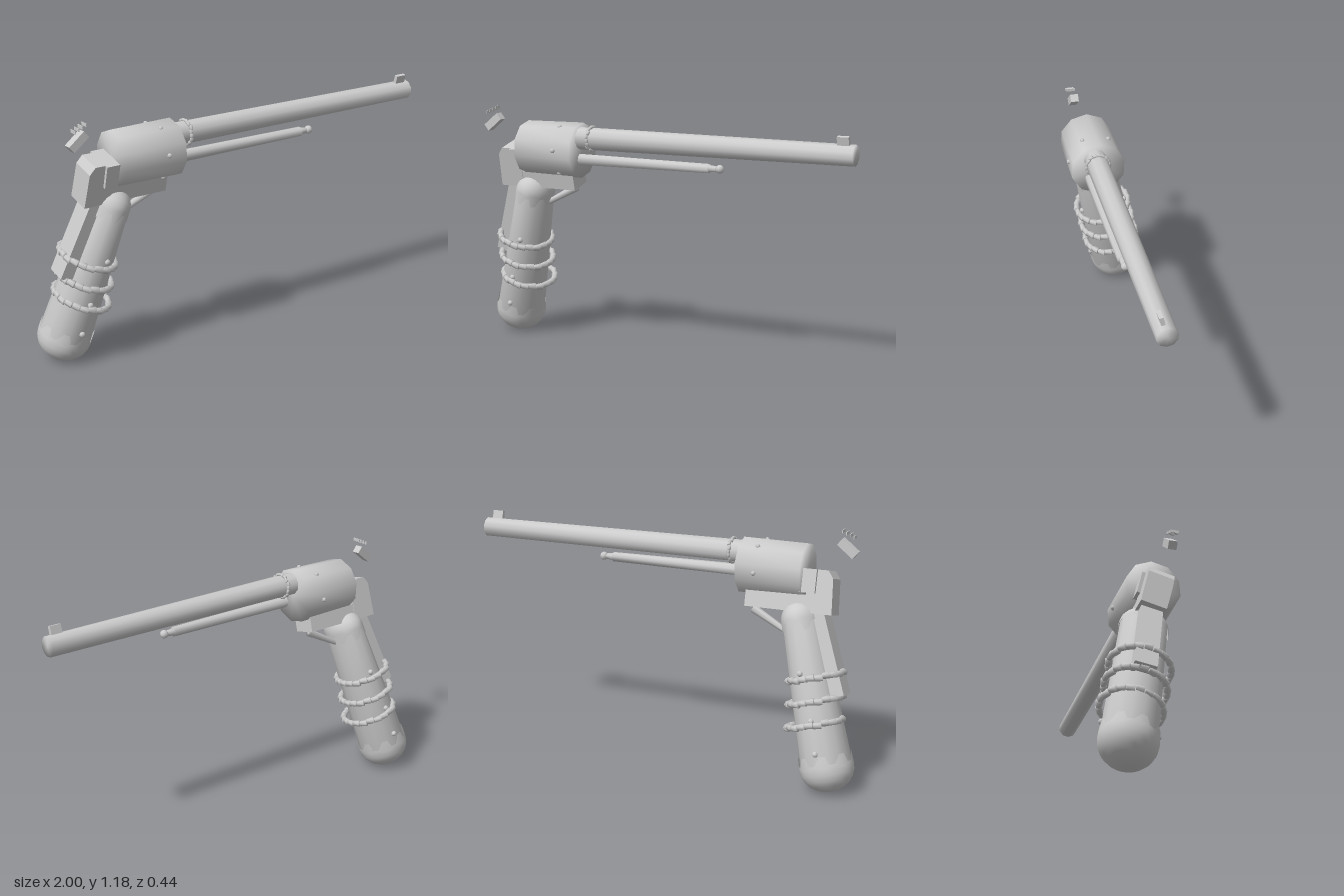
import * as THREE from 'three';
import { mergeVertices } from 'three/addons/utils/BufferGeometryUtils.js';

const metal = new THREE.MeshStandardMaterial({ color: 0xcccccc, side: THREE.DoubleSide });
metal.name = 'plain grey';

// Weld all corners so the shading runs smoothly over every edge
function soft(geo) {
  geo.deleteAttribute('normal');
  geo.deleteAttribute('uv');
  const welded = mergeVertices(geo, 1e-4);
  welded.computeVertexNormals();
  return welded;
}

function add(parent, name, geo, x = 0, y = 0, z = 0) {
  const mesh = new THREE.Mesh(geo, metal);
  mesh.name = name;
  mesh.position.set(x, y, z);
  parent.add(mesh);
  return mesh;
}

// Round bar along x from x0 to x1
function bar(parent, name, x0, x1, r0, r1, sides, y = 0, z = 0) {
  const geo = new THREE.CylinderGeometry(r1, r0, x1 - x0, sides).rotateZ(-Math.PI / 2);
  return add(parent, name, soft(geo), (x0 + x1) / 2, y, z);
}

function box(parent, name, x0, x1, y0, y1, depth, z = 0) {
  return add(parent, name, new THREE.BoxGeometry(x1 - x0, y1 - y0, depth),
    (x0 + x1) / 2, (y0 + y1) / 2, z);
}

// Ring of short beads around the local y axis
function beadRing(parent, name, count, rx, rz, beadRadius) {
  const ring = new THREE.Group();
  ring.name = name;
  const length = (2 * Math.PI * (rx + rz) / 2 / count) * 0.95;
  const geo = soft(new THREE.CylinderGeometry(beadRadius * 0.8, beadRadius, length, 6));
  for (let i = 0; i < count; i++) {
    const a = (i / count) * Math.PI * 2;
    const bead = add(ring, 'bead', geo, Math.cos(a) * rx, Math.sin(i * 2.4) * 0.003, Math.sin(a) * rz);
    bead.quaternion.setFromUnitVectors(new THREE.Vector3(0, 1, 0),
      new THREE.Vector3(-Math.sin(a) * rx, 0, Math.cos(a) * rz).normalize());
  }
  parent.add(ring);
  return ring;
}

function buildUpper() {
  const upper = new THREE.Group();
  upper.name = 'upperAssembly';
  upper.position.set(0, 0.983, 0.087);
  upper.rotation.x = 0.25;

  // Drum with small studs
  bar(upper, 'drum', -0.7, -0.39, 0.13, 0.134, 10);
  for (let i = 0; i < 6; i++) {
    const a = (i / 6) * Math.PI * 2 + 0.3;
    add(upper, 'drumStud', new THREE.SphereGeometry(0.012, 6, 4),
      -0.48, Math.sin(a) * 0.128, Math.cos(a) * 0.128);
  }

  // Barrel, bead collar and front sight
  bar(upper, 'barrel', -0.4, 1, 0.054, 0.048, 10, 0.062);
  const collar = beadRing(upper, 'barrelCollar', 18, 0.056, 0.056, 0.009);
  collar.position.set(-0.325, 0.062, 0);
  collar.rotation.z = Math.PI / 2;
  box(upper, 'frontSight', 0.92, 0.975, 0.1, 0.147, 0.018);

  // Rod under the barrel, with a knob
  bar(upper, 'rod', -0.375, 0.31, 0.028, 0.023, 8, -0.026, 0.051);
  bar(upper, 'rodNeck', 0.3, 0.345, 0.018, 0.014, 8, -0.026, 0.051);
  add(upper, 'rodKnob', new THREE.SphereGeometry(0.02, 8, 6), 0.362, -0.026, 0.051);

  // Frame: bottom bar, rear block and recoil plate
  box(upper, 'frameBottom', -0.78, -0.43, -0.19, -0.11, 0.115);
  box(upper, 'framePlate', -0.765, -0.69, -0.1, 0.01, 0.15);
  const profile = new THREE.Shape([[-0.85, -0.19], [-0.72, -0.19], [-0.72, 0.01],
    [-0.815, 0.01], [-0.84, -0.025]].map(p => new THREE.Vector2(...p)));
  add(upper, 'frameRear', new THREE.ExtrudeGeometry(profile, { depth: 0.12, bevelEnabled: false }), 0, 0, -0.06);
  return upper;
}

function buildHammer() {
  const hammer = new THREE.Group();
  hammer.name = 'hammer';
  const spur = add(hammer, 'hammerSpur', new THREE.BoxGeometry(0.095, 0.038, 0.04), -0.88, 1.1, 0.11);
  spur.rotation.z = 0.68;
  for (let i = 0; i < 4; i++)
    add(hammer, 'hammerRidge', new THREE.BoxGeometry(0.004, 0.014, 0.04),
      -0.905 + i * 0.018, 1.15 + i * 0.008, 0.125);
  return hammer;
}

function buildGrip() {
  const base = new THREE.Vector3(-0.875, 0.12, -0.09);
  const axis = new THREE.Vector3(-0.69, 0.77, 0.04).sub(base);
  const L = axis.length();
  const grip = new THREE.Group();
  grip.name = 'grip';
  grip.position.copy(base);
  grip.quaternion.setFromUnitVectors(new THREE.Vector3(0, 1, 0), axis.clone().normalize());

  const rx = y => 0.121 - 0.034 * y / L;
  const rz = y => 0.124 - 0.016 * y / L;
  // Scale a unit-radius shape to the grip's tapering oval section
  const taper = geo => {
    const p = geo.attributes.position;
    for (let i = 0; i < p.count; i++) {
      const y = p.getY(i);
      p.setXYZ(i, p.getX(i) * rx(y), y, p.getZ(i) * rz(y));
    }
    return soft(geo);
  };
  add(grip, 'gripBody', taper(new THREE.CylinderGeometry(1, 1, L, 14).translate(0, L / 2, 0)));

  // Domed caps with a scalloped rim
  const cap = (height, flip) => {
    const pts = [new THREE.Vector2(1.04, -0.035)];
    for (let i = 0; i <= 6; i++) {
      const a = (i / 6) * Math.PI / 2;
      pts.push(new THREE.Vector2(1.04 * Math.cos(a), height * Math.sin(a)));
    }
    pts[7].x = 0;
    const geo = new THREE.LatheGeometry(pts, 56);
    const p = geo.attributes.position;
    for (let i = 0; i < p.count; i++) {
      if (p.getY(i) > -0.01) continue;
      const wave = 2.5 * Math.sin(8 * Math.atan2(p.getZ(i), p.getX(i)));
      p.setY(i, -0.035 - 0.02 * Math.max(-1, Math.min(1, wave)));
    }
    if (flip) geo.rotateX(Math.PI);
    else geo.translate(0, L, 0);
    return taper(geo);
  };
  add(grip, 'gripTopCap', cap(0.085, false));
  add(grip, 'gripEndCap', cap(0.12, true));

  // Bead chains
  for (const [x, y, z] of [[-0.785, 0.515, -0.01], [-0.795, 0.41, -0.033], [-0.8, 0.305, -0.055]]) {
    const ring = beadRing(grip, 'beadChain', 22, 0.128, 0.136, 0.017);
    ring.position.copy(new THREE.Vector3(x, y, z).sub(base).applyQuaternion(grip.quaternion.clone().invert()));
  }

  // Small round studs on both sides
  for (const side of [1, -1])
    for (const [y, a] of [[0.44, 1.45], [0.22, 1.6], [0.07, 1.55]])
      add(grip, 'gripStud', new THREE.SphereGeometry(0.014, 8, 6),
        Math.cos(a) * rx(y), y, Math.sin(a) * rz(y) * side);

  // Strap along the back of the grip
  const strap = add(grip, 'backStrap', new THREE.BoxGeometry(0.07, 0.42, 0.1), -0.105, L - 0.17, 0);
  strap.rotation.z = -0.07;
  return grip;
}

export function createModel() {
  const model = new THREE.Group();
  model.name = 'revolver';
  model.add(buildUpper(), buildHammer(), buildGrip());

  // Slanted trigger
  const from = new THREE.Vector3(-0.455, 0.79, 0.04);
  const to = new THREE.Vector3(-0.67, 0.68, 0.02);
  const dir = to.clone().sub(from);
  const trigger = add(model, 'trigger', soft(new THREE.CylinderGeometry(0.012, 0.02, dir.length(), 6)));
  trigger.position.copy(from).add(to).multiplyScalar(0.5);
  trigger.quaternion.setFromUnitVectors(new THREE.Vector3(0, 1, 0), dir.normalize());
  return model;
}
